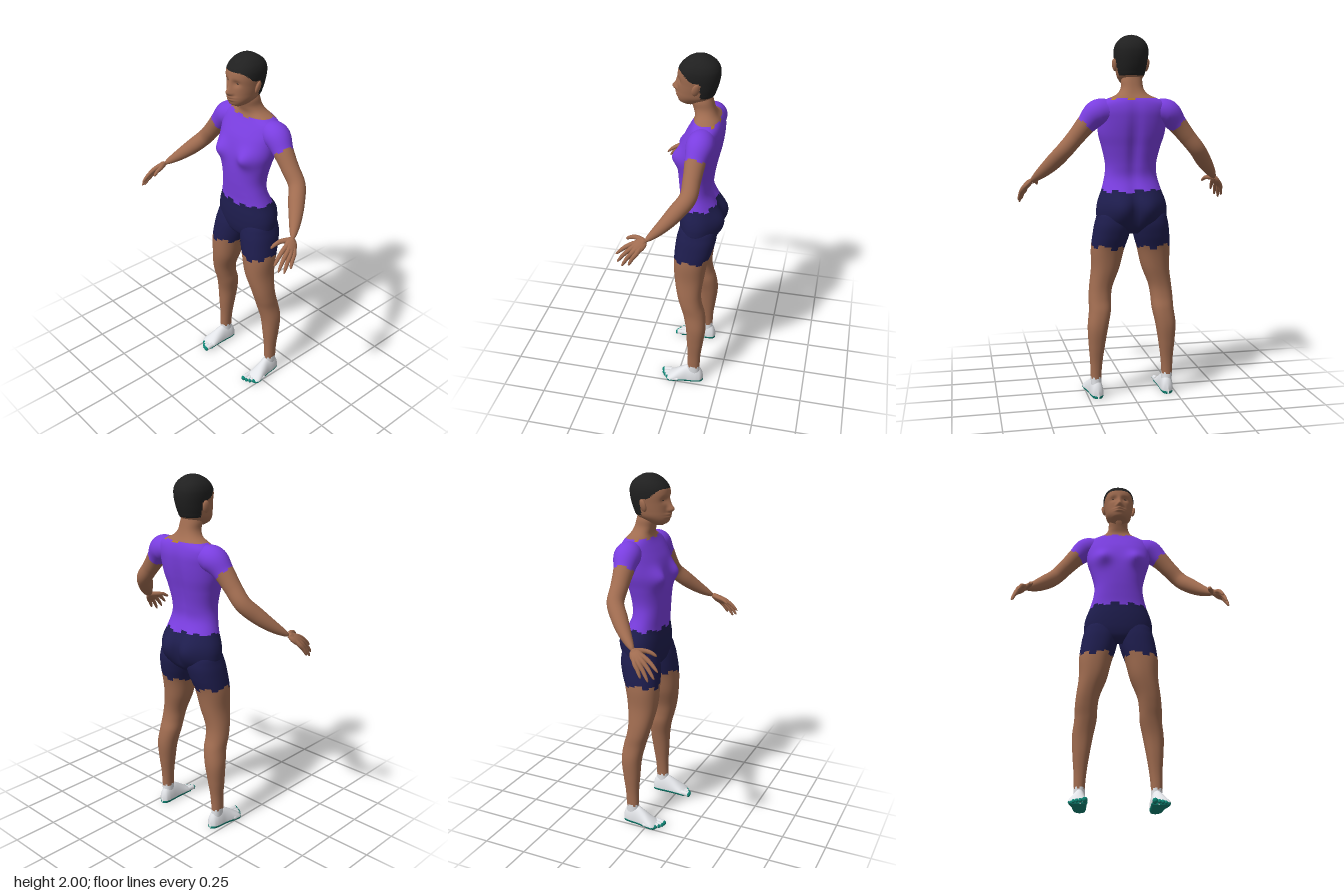
import * as THREE from 'three';

const flat = (name, color) => {
  const m = new THREE.MeshStandardMaterial({ color });
  m.name = name;
  return m;
};

const gauss = (d, s) => Math.exp(-(d * d) / (2 * s * s));
// stepped offset, 0..1, for ragged hems
const jag = (i) => ((Math.floor(i / 3) * 7) % 11) / 11;
// smooth lookup in rows of [key, value, value...]
function table(rows) {
  const n = rows[0].length - 1;
  const f = new THREE.CubicInterpolant(rows.map(r => r[0]), rows.flatMap(r => r.slice(1)), n);
  return t => Array.from(f.evaluate(t));
}

export function createModel() {
  const skin = flat('skin', 0xa06c50), shirt = flat('shirt purple', 0x7a3ee0);
  const shorts = flat('shorts navy', 0x1e1d4e), hair = flat('hair black', 0x202020);
  const white = flat('sock white', 0xe2e4e8), teal = flat('sole teal', 0x0e8474);
  const ochre = flat('collar ochre', 0xb07a28);
  const model = new THREE.Group();
  model.name = 'figure';

  // closed-ring surface; each cell takes the material chosen by pick
  function surface(name, cols, rows, point, pick, side = 1) {
    const pos = [], lists = new Map();
    for (let j = 0; j <= rows; j++) for (let i = 0; i < cols; i++) {
      const p = point(i / cols * Math.PI * 2, j / rows);
      pos.push(p[0] * side, p[1], p[2]);
    }
    for (let j = 0; j < rows; j++) for (let i = 0; i < cols; i++) {
      const a = j * cols + i, b = j * cols + (i + 1) % cols, c = a + cols, d = b + cols;
      const mid = k => (pos[a * 3 + k] + pos[d * 3 + k]) / 2;
      const m = pick(mid(0), mid(1), mid(2), i, (j + 0.5) / rows);
      if (!lists.has(m)) lists.set(m, []);
      lists.get(m).push(...(side > 0 ? [a, b, c, b, d, c] : [a, c, b, b, c, d]));
    }
    const g = new THREE.BufferGeometry();
    g.setAttribute('position', new THREE.Float32BufferAttribute(pos, 3));
    let start = 0;
    [...lists.values()].forEach((l, k) => { g.addGroup(start, l.length, k); start += l.length; });
    g.setIndex([...lists.values()].flat());
    g.computeVertexNormals();
    const mesh = new THREE.Mesh(g, [...lists.keys()]);
    mesh.name = name;
    model.add(mesh);
  }

  // upright body: rows of [y, centre x, half width, front z, back z], plus surface relief
  function upright(name, rings, cols, rows, pick, relief = () => 0, side = 1) {
    const at = table(rings), y0 = rings[0][0], y1 = rings[rings.length - 1][0];
    surface(name, cols, rows, (a, v) => {
      const y = y0 + (y1 - y0) * v, [cx, rx, zf, zb] = at(y);
      const s = Math.sin(a), c = Math.cos(a), e = 0.9;
      const x = cx + rx * Math.sign(s) * Math.abs(s) ** e;
      const z = (zf + zb) / 2 + (zf - zb) / 2 * Math.sign(c) * Math.abs(c) ** e;
      return [x, y, z + relief(x, y, c)];
    }, pick, side);
  }

  // round limb along a path, rounded off at its end
  function limb(name, path, radii, cols, rows, pick, side) {
    const curve = new THREE.CatmullRomCurve3(path.map(p => new THREE.Vector3(...p)));
    const radius = table(radii.map((r, k) => [k / (radii.length - 1), r]));
    surface(name, cols, rows, (a, v) => {
      const t = curve.getTangent(v), u = new THREE.Vector3(0, 1, 0);
      u.addScaledVector(t, -u.dot(t)).normalize();
      const b = new THREE.Vector3().crossVectors(t, u);
      const r = radius(v)[0] * Math.sqrt(Math.max(0, 1 - v ** 10)) + 1e-4;
      return curve.getPoint(v).addScaledVector(u, r * Math.cos(a)).addScaledVector(b, r * Math.sin(a)).toArray();
    }, pick, side);
  }

  function ellipsoid(name, mat, p, s, r = [0, 0, 0]) {
    const m = new THREE.Mesh(new THREE.SphereGeometry(1, 20, 14), mat);
    m.name = name;
    m.position.set(...p);
    m.scale.set(...s);
    m.rotation.set(...r);
    model.add(m);
    return m;
  }

  // torso with hips, shirt and neck
  upright('torso', [
    [0.93, 0, 0.05, -0.03, -0.15], [0.96, 0, 0.13, 0, -0.18], [1.0, 0, 0.185, 0.013, -0.198],
    [1.05, 0, 0.196, 0.018, -0.206], [1.1, 0, 0.19, 0.018, -0.203], [1.17, 0, 0.165, 0.014, -0.178],
    [1.24, 0, 0.146, 0.02, -0.158], [1.3, 0, 0.141, 0.026, -0.163], [1.4, 0, 0.162, 0.03, -0.182],
    [1.47, 0, 0.182, 0.024, -0.198], [1.55, 0, 0.19, 0.002, -0.21], [1.6, 0, 0.193, -0.023, -0.212],
    [1.64, 0, 0.178, -0.045, -0.204], [1.66, 0, 0.14, -0.054, -0.195], [1.68, 0, 0.092, -0.058, -0.18],
    [1.71, 0, 0.064, -0.05, -0.165], [1.76, 0, 0.056, -0.035, -0.15], [1.8, 0, 0.04, -0.04, -0.14],
  ], 72, 96, (x, y, z, i) => {
    if (y < 1.158 + 0.022 * jag(i)) return shorts;
    if (y < 1.658 + 0.01 * jag(i)) return shirt;
    return y < 1.668 && z < -0.09 ? ochre : skin;
  }, (x, y, c) => {
    const ax = Math.abs(x);
    if (c > 0) return 0.036 * gauss(ax - 0.1, 0.034) * gauss(y - 1.46, 0.036) * Math.min(1, c * 2);
    return -c * (-0.036 * gauss(ax - 0.08, 0.05) * gauss(y - 1.07, 0.06)
      + 0.016 * gauss(x, 0.022) * gauss(y - 1.4, 0.15) + 0.012 * gauss(x, 0.015) * gauss(y - 1.04, 0.06));
  });

  // head with hair, brow, nose and lips
  upright('head', [
    [1.73, 0, 0.02, 0, -0.05], [1.745, 0, 0.044, 0.026, -0.09], [1.76, 0, 0.058, 0.034, -0.12],
    [1.78, 0, 0.071, 0.035, -0.15], [1.81, 0, 0.079, 0.034, -0.165], [1.85, 0, 0.086, 0.033, -0.178],
    [1.9, 0, 0.092, 0.034, -0.186], [1.93, 0, 0.09, 0.027, -0.183], [1.96, 0, 0.077, 0.004, -0.165],
    [1.985, 0, 0.05, -0.03, -0.13], [1.996, 0, 0.024, -0.058, -0.105], [2.0, 0, 0.001, -0.08, -0.082],
  ], 96, 90, (x, y, z) => {
    const line = z < -0.095 ? 1.785 : 1.875 + 0.05 * THREE.MathUtils.smoothstep(z, -0.06, 0.02);
    return y > line ? hair : skin;
  }, (x, y, c) => c < 0.2 ? 0 :
    0.028 * gauss(x, 0.011) * gauss(y - 1.818, 0.014) + 0.012 * gauss(x, 0.009) * gauss(y - 1.85, 0.02)
    + 0.007 * gauss(Math.abs(x) - 0.016, 0.006) * gauss(y - 1.812, 0.007)
    + 0.01 * gauss(x, 0.02) * (gauss(y - 1.791, 0.005) + gauss(y - 1.777, 0.005))
    - 0.011 * gauss(Math.abs(x) - 0.034, 0.015) * gauss(y - 1.866, 0.012));

  const footAt = table([
    [-0.157, 0.2, 0.004, 0.04], [-0.15, 0.2, 0.022, 0.065], [-0.13, 0.201, 0.033, 0.1],
    [-0.1, 0.203, 0.037, 0.112], [-0.06, 0.205, 0.038, 0.106], [-0.02, 0.209, 0.043, 0.084],
    [0.02, 0.213, 0.049, 0.056], [0.045, 0.212, 0.048, 0.038], [0.06, 0.205, 0.036, 0.026], [0.066, 0.2, 0.004, 0.015],
  ]);

  for (const s of [1, -1]) {
    const tag = s > 0 ? 'left' : 'right';

    // leg from ankle into hip
    upright(tag + 'Leg', [
      [0.06, 0.203, 0.029, -0.062, -0.138], [0.12, 0.205, 0.03, -0.063, -0.136], [0.2, 0.203, 0.034, -0.064, -0.14],
      [0.3, 0.2, 0.045, -0.058, -0.154], [0.41, 0.193, 0.057, -0.05, -0.165], [0.5, 0.179, 0.061, -0.03, -0.155],
      [0.56, 0.177, 0.062, -0.012, -0.138], [0.62, 0.17, 0.064, 0.004, -0.131], [0.73, 0.143, 0.078, 0.025, -0.143],
      [0.84, 0.13, 0.092, 0.03, -0.162], [0.92, 0.114, 0.1, 0.026, -0.188], [1.0, 0.1, 0.1, 0.014, -0.2],
      [1.06, 0.09, 0.085, -0.01, -0.18], [1.1, 0.08, 0.03, -0.06, -0.12],
    ], 48, 100, (x, y, z, i) =>
      y < 0.112 + 0.01 * jag(i) ? white : y < 0.84 + 0.035 * jag(i) ? skin : shorts, undefined, s);

    // foot: flat teal sole, arched white upper
    surface(tag + 'Foot', 32, 36, (a, v) => {
      const z = -0.157 + 0.223 * v, [cx, hw, top] = footAt(z), sn = Math.sin(a);
      const mid = Math.min(0.02, top * 0.4);
      return [cx + hw * Math.cos(a), sn > 0 ? mid + (top - mid) * sn : Math.max(0.003, mid + mid * 1.4 * sn), z];
    }, (x, y) => y < 0.018 ? teal : white, s);

    // toes with painted tips
    [[0.178, 0.1, 0.015], [0.2, 0.094, 0.011], [0.218, 0.083, 0.011], [0.235, 0.067, 0.011], [0.25, 0.048, 0.011]]
      .forEach(([x, z, r], k) => limb(tag + 'Toe' + (k + 1),
        [[x, 0.024, z - 0.06], [x, 0.021, z - 0.025], [x, r, z]], [r, r, r * 0.95], 14, 18,
        (px, y, pz) => y < 0.011 || pz > z - 0.014 ? teal : white, s));

    // arm with short sleeve
    limb(tag + 'Arm', [
      [0.12, 1.595, -0.125], [0.19, 1.585, -0.12], [0.25, 1.527, -0.11], [0.31, 1.455, -0.105],
      [0.37, 1.385, -0.098], [0.42, 1.325, -0.05], [0.475, 1.265, 0.01], [0.535, 1.205, 0.085],
    ], [0.062, 0.072, 0.055, 0.047, 0.045, 0.044, 0.037, 0.027], 32, 70,
    (x, y, z, i, v) => v < 0.285 + 0.02 * jag(i) ? shirt : skin, s);

    // palm, fingers and thumb
    const along = new THREE.Vector3(0.42 * s, -0.56, 0.7).normalize();
    const across = new THREE.Vector3(-0.55 * s, 0.47, 0.72);
    across.addScaledVector(along, -across.dot(along)).normalize();
    const thick = new THREE.Vector3().crossVectors(along, across);
    const palm = ellipsoid(tag + 'Palm', skin, [0.552 * s, 1.185, 0.115], [0.05, 0.034, 0.018]);
    palm.quaternion.setFromRotationMatrix(new THREE.Matrix4().makeBasis(along, across, thick));
    [['IndexFinger', [0.546, 1.185, 0.155], [0.558, 1.122, 0.233]],
      ['MiddleFinger', [0.563, 1.172, 0.15], [0.578, 1.09, 0.222]],
      ['RingFinger', [0.574, 1.162, 0.136], [0.592, 1.077, 0.195]],
      ['LittleFinger', [0.58, 1.158, 0.117], [0.6, 1.093, 0.157]],
      ['Thumb', [0.505, 1.204, 0.135], [0.49, 1.178, 0.195]]].forEach(([part, knuckle, tip]) => {
      const bend = knuckle.map((k, n) => (k + tip[n]) / 2 + (n === 1 ? 0.006 : 0));
      limb(tag + part, [[0.535, 1.207, 0.088], knuckle, bend, tip],
        [0.016, 0.0125, 0.0105, 0.008], 12, 24, () => skin, s);
    });

    // ear, eye line and brow
    ellipsoid(tag + 'Ear', skin, [0.09 * s, 1.84, -0.075], [0.011, 0.034, 0.02], [-0.2, 0.35 * s, -0.15 * s]);
    ellipsoid(tag + 'Eye', hair, [0.035 * s, 1.866, 0.013], [0.014, 0.0035, 0.0045], [0, 0.35 * s, 0]);
    ellipsoid(tag + 'Brow', hair, [0.036 * s, 1.886, 0.02], [0.016, 0.002, 0.004], [0, 0.35 * s, 0]);
  }
  return model;
}
